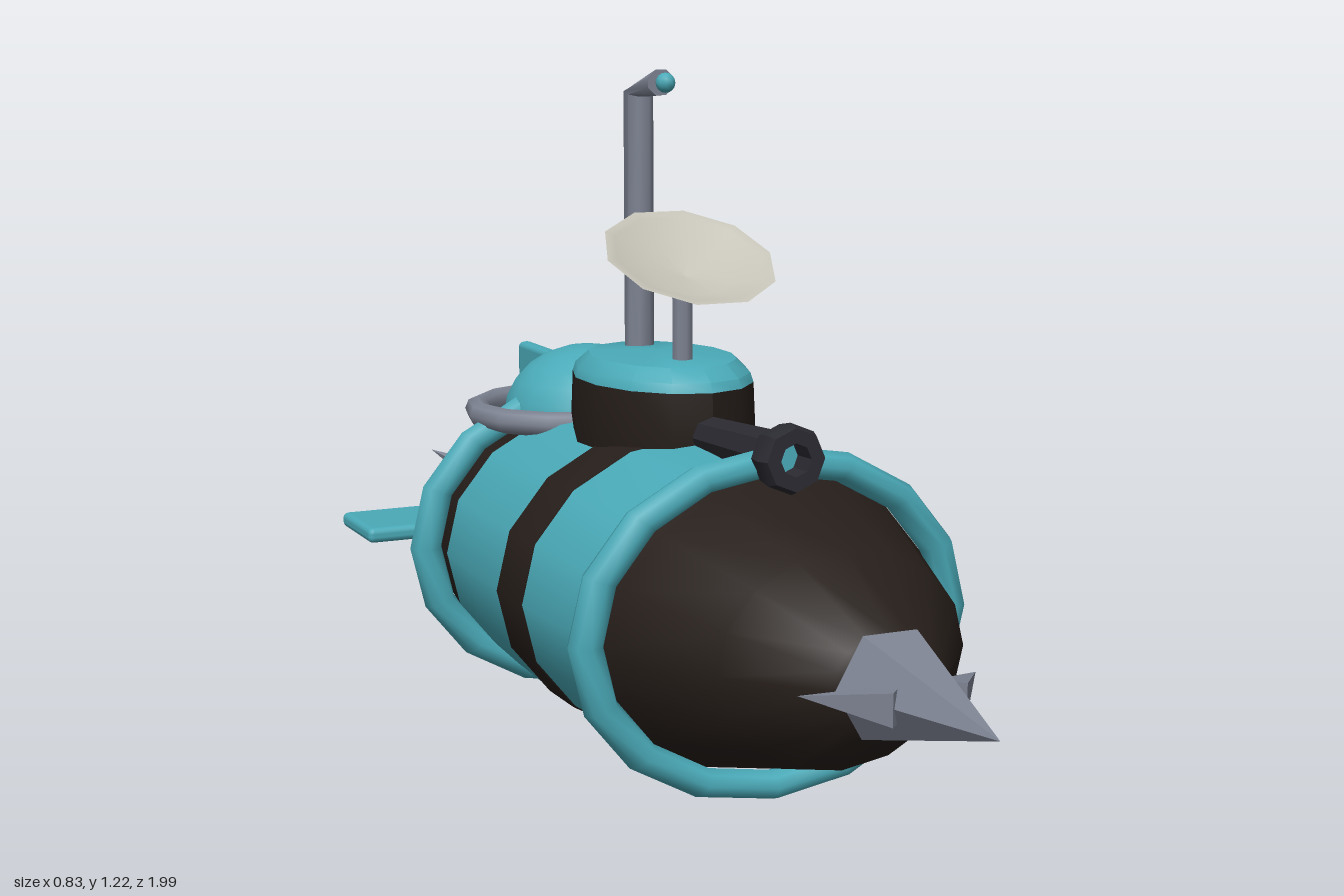
import * as THREE from 'three';
import { RoundedBoxGeometry } from 'three/addons/geometries/RoundedBoxGeometry.js';
import { toCreasedNormals } from 'three/addons/utils/BufferGeometryUtils.js';

const mat = (color, extra = {}) => {
  const m = new THREE.MeshStandardMaterial({ color });
  return Object.assign(m, extra);
};
const teal = mat(0x4aaab8);
const dark = mat(0x261e1a);
const gunmetal = mat(0x2a2a31);
const steel = mat(0x7d8392);
const steelFlat = mat(0x7d8392, { flatShading: true });
const dishInner = mat(0xc4c1b6, { side: THREE.DoubleSide });

const AXIS_Y = 0.31;   // height of the hull axis
const SQUASH = 0.82;   // hull is wider than tall

export function createModel() {
  const model = new THREE.Group();
  const add = (name, geometry, material, x = 0, y = 0, z = 0, parent = model) => {
    const mesh = new THREE.Mesh(geometry, material);
    mesh.name = name;
    mesh.position.set(x, y, z);
    parent.add(mesh);
    return mesh;
  };
  const lathe = (pts, sides) =>
    new THREE.LatheGeometry(pts.map(([r, h]) => new THREE.Vector2(r, h)), sides);

  // Hull sections, as [radius, z] from back to front
  const hullPart = (name, pts, material) =>
    add(name, lathe(pts, 16).rotateX(Math.PI / 2).scale(1, SQUASH, 1), material, 0, AXIS_Y, 0);
  hullPart('sternSection', [[0, -0.89], [0.06, -0.89], [0.15, -0.835], [0.253, -0.72], [0.295, -0.6], [0.32, -0.46]], dark);
  hullPart('rearHull', [[0.32, -0.46], [0.328, -0.32], [0.334, -0.14]], teal);
  hullPart('hullBand', [[0.33, -0.145], [0.338, -0.145], [0.338, -0.03], [0.33, -0.03]], dark);
  hullPart('frontHull', [[0.334, -0.03], [0.328, 0.1], [0.312, 0.26]], teal);
  hullPart('bowSection', [[0.312, 0.26], [0.3, 0.29], [0.222, 0.52], [0.1, 0.67], [0, 0.67]], dark);

  // Bumper rings around the hull
  for (const [name, z] of [['frontHullRing', 0.27], ['rearHullRing', -0.525]]) {
    add(name, new THREE.TorusGeometry(0.34, 0.031, 8, 16).scale(1, SQUASH + 0.005, 1), teal, 0, AXIS_Y, z);
  }

  // Nose spike with a barb on each side
  const nose = new THREE.ConeGeometry(0.095, 0.32, 6).rotateY(Math.PI / 6).rotateX(Math.PI / 2);
  add('noseSpike', nose, steelFlat, 0, AXIS_Y, 0.83);
  for (const side of [1, -1]) {
    const from = new THREE.Vector3(side * 0.045, AXIS_Y, 0.775);
    const to = new THREE.Vector3(side * 0.157, AXIS_Y, 0.665);
    const dir = to.clone().sub(from);
    const barb = add('noseBarb', new THREE.ConeGeometry(0.038, dir.length(), 4), steelFlat);
    barb.position.copy(from).add(to).multiplyScalar(0.5);
    barb.quaternion.setFromUnitVectors(new THREE.Vector3(0, 1, 0), dir.normalize());
  }

  // Three-bladed propeller: a star swept backwards
  const star = [];
  for (let i = 0; i < 6; i++) {
    const a = -Math.PI / 2 + i * Math.PI / 3, r = i % 2 ? 0.05 : 0.19;
    star.push([Math.cos(a) * r, Math.sin(a) * r, i % 2 ? -0.925 : -0.995]);
  }
  const tris = [];
  star.forEach((p, i) => {
    const q = star[(i + 1) % 6];
    tris.push(...p, ...q, 0, 0, -0.865);
    tris.push(...q, ...p, 0, 0, -0.95);
  });
  const prop = new THREE.BufferGeometry();
  prop.setAttribute('position', new THREE.Float32BufferAttribute(tris, 3));
  prop.computeVertexNormals();
  add('propeller', prop, steelFlat, 0, AXIS_Y, 0);

  // Tail fins
  for (const side of [1, -1]) {
    add('sideFin', new RoundedBoxGeometry(0.25, 0.03, 0.18, 2, 0.012), teal, side * 0.29, AXIS_Y + 0.003, -0.732);
  }
  add('topFin', new RoundedBoxGeometry(0.03, 0.24, 0.2, 2, 0.012), teal, 0, 0.522, -0.775);

  // Conning tower
  const tower = new THREE.Group();
  tower.name = 'conningTower';
  tower.position.z = -0.18;
  model.add(tower);
  const oval = (pts) => toCreasedNormals(lathe(pts, 14).scale(1, 1, 1.41), 0.6);
  add('towerWall', oval([[0.145, 0.5], [0.156, 0.59], [0.153, 0.668], [0, 0.668]]), dark, 0, 0, 0, tower);
  add('towerCap', oval([[0.14, 0.665], [0.153, 0.668], [0.148, 0.685], [0.125, 0.708], [0, 0.717]]), teal, 0, 0, 0, tower);

  // Rear dome with its guard ring
  add('rearDome', new THREE.SphereGeometry(1, 18, 12).scale(0.162, 0.135, 0.175), teal, 0, 0.545, -0.53);
  add('domeRing', new THREE.TorusGeometry(0.215, 0.024, 8, 14).rotateX(Math.PI / 2).scale(1, 1, 0.9),
    steel, 0, 0.553, -0.545);

  // Periscope: a tube whose top row is bent forward
  const scope = new THREE.CylinderGeometry(0.025, 0.025, 1, 8, 2).rotateY(Math.PI / 8).scale(1.08, 1, 1.08);
  const pos = scope.attributes.position;
  for (let i = 0; i < pos.count; i++) {
    const y = pos.getY(i), dz = pos.getZ(i);
    if (y > 0.4) pos.setXYZ(i, pos.getX(i), 1.197 - dz * 0.9, -0.18);
    else if (y > -0.4) pos.setXYZ(i, pos.getX(i), 1.175 - dz * 0.25, -0.28 + dz);
    else pos.setXYZ(i, pos.getX(i), 0.68, -0.28 + dz);
  }
  add('periscope', toCreasedNormals(scope, 0.9), steel);
  add('periscopeLens', new THREE.SphereGeometry(0.018, 10, 8), teal, 0, 1.197, -0.16);

  // Dish antenna, tilted forward
  add('dishStem', new THREE.CylinderGeometry(0.019, 0.019, 0.16, 8), steel, 0, 0.77, -0.09);
  const dish = new THREE.Group();
  dish.name = 'dish';
  dish.position.set(0, 0.898, -0.057);
  dish.rotation.x = 0.47;
  model.add(dish);
  const turn = Math.PI / 10;
  add('dishBack', lathe([[0, -0.07], [0.035, -0.068], [0.157, 0]], 10).rotateY(turn), steel, 0, 0, 0, dish);
  add('dishFace', lathe([[0.157, 0], [0.138, -0.003], [0.08, -0.03], [0, -0.042]], 10).rotateY(turn),
    dishInner, 0, 0, 0, dish);

  // Deck gun
  const gun = new THREE.Group();
  gun.name = 'deckGun';
  gun.position.set(0, 0.59, 0.02);
  gun.rotation.x = -0.045;
  model.add(gun);
  const along = (pts) => toCreasedNormals(lathe(pts, 8).rotateX(Math.PI / 2), 0.6);
  add('gunBarrel', along([[0.034, -0.08], [0.042, 0.29]]), gunmetal, 0, 0, 0, gun);
  add('gunMuzzle', along([[0.036, 0.27], [0.053, 0.275], [0.06, 0.315], [0.053, 0.335], [0.028, 0.335], [0.028, 0.28]]),
    gunmetal, 0, 0, 0, gun);
  add('gunBore', new THREE.CircleGeometry(0.03, 8), teal, 0, 0, 0.285, gun);

  return model;
}
